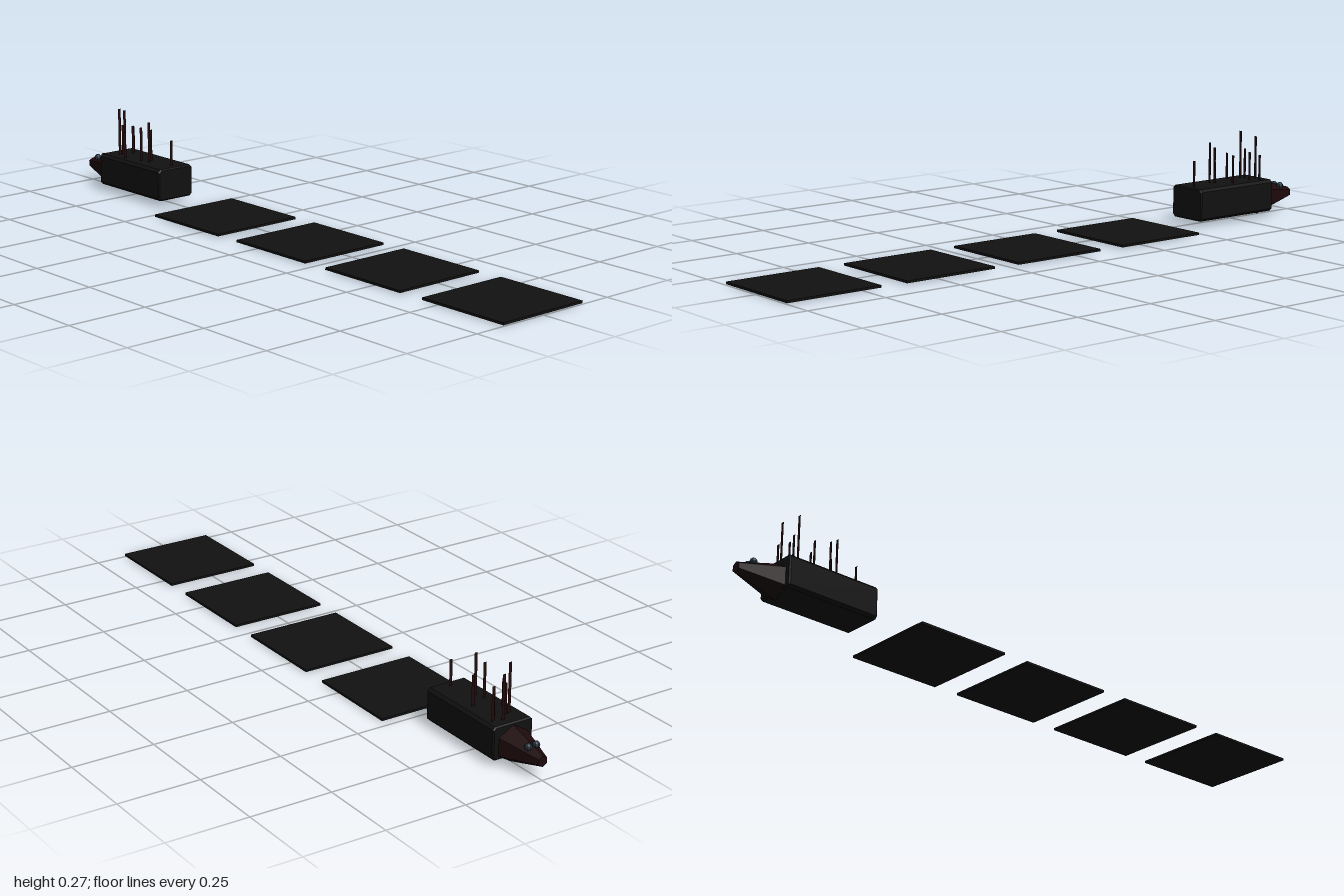
import * as THREE from 'three';

const mat = (color, extra = {}) => new THREE.MeshStandardMaterial({ color, flatShading: true, ...extra });

export function createModel() {
  const model = new THREE.Group();
  const black = mat(0x111111);
  const darkRed = mat(0x1e0a0c);
  const spineRed = mat(0x220a0c, { side: THREE.DoubleSide });
  const eyeBlue = mat(0x26343f);

  const add = (name, geometry, material, x, y, z) => {
    const mesh = new THREE.Mesh(geometry, material);
    mesh.name = name;
    mesh.position.set(x, y, z);
    model.add(mesh);
    return mesh;
  };

  // Four flat square slabs in a row
  const slab = new THREE.BoxGeometry(0.305, 0.007, 0.305);
  for (let i = 0; i < 4; i++) add('slab' + (i + 1), slab, black, 0, 0.0065, 0.8475 - i * 0.3905);

  // Long body with chamfered edges
  const bevel = 0.004, w = 0.066 - bevel, h = 0.05 - bevel, c = 0.006;
  const profile = new THREE.Shape([
    [-w + c, -h], [w - c, -h], [w, -h + c], [w, h - c],
    [w - c, h], [-w + c, h], [-w, h - c], [-w, -h + c],
  ].map(([x, y]) => new THREE.Vector2(x, y)));
  const length = 0.305;
  const body = new THREE.ExtrudeGeometry(profile, {
    depth: length - 2 * bevel, bevelEnabled: true, bevelSize: bevel, bevelThickness: bevel, bevelSegments: 1,
  });
  body.translate(0, 0, bevel - length / 2);
  add('body', body, black, 0, 0.068, -0.7175);

  // Six-sided tapered head, a corner pointing straight down
  const head = new THREE.CylinderGeometry(0.016, 0.056, 0.135, 6);
  head.rotateX(-Math.PI / 2);
  add('head', head, darkRed, 0, 0.056, -0.9325);

  // Pair of eyes on top of the head
  const eye = new THREE.SphereGeometry(0.011, 8, 6);
  for (const side of [-1, 1]) add(side > 0 ? 'leftEye' : 'rightEye', eye, eyeBlue, side * 0.013, 0.083, -0.953);

  // Flat upright spines on the back: x, top height, z
  const spines = [
    [-0.04, 0.2, -0.771], [-0.026, 0.267, -0.816], [-0.017, 0.245, -0.676],
    [-0.026, 0.225, -0.705], [-0.01, 0.212, -0.82], [-0.003, 0.186, -0.685],
    [0.004, 0.198, -0.591], [0.014, 0.252, -0.843], [0.022, 0.206, -0.81],
    [0.031, 0.205, -0.73], [0.042, 0.197, -0.834],
  ];
  const root = 0.1;
  spines.forEach(([x, top, z], i) => {
    add('spine' + (i + 1), new THREE.PlaneGeometry(0.01, top - root), spineRed, x, (top + root) / 2, z);
  });

  return model;
}
